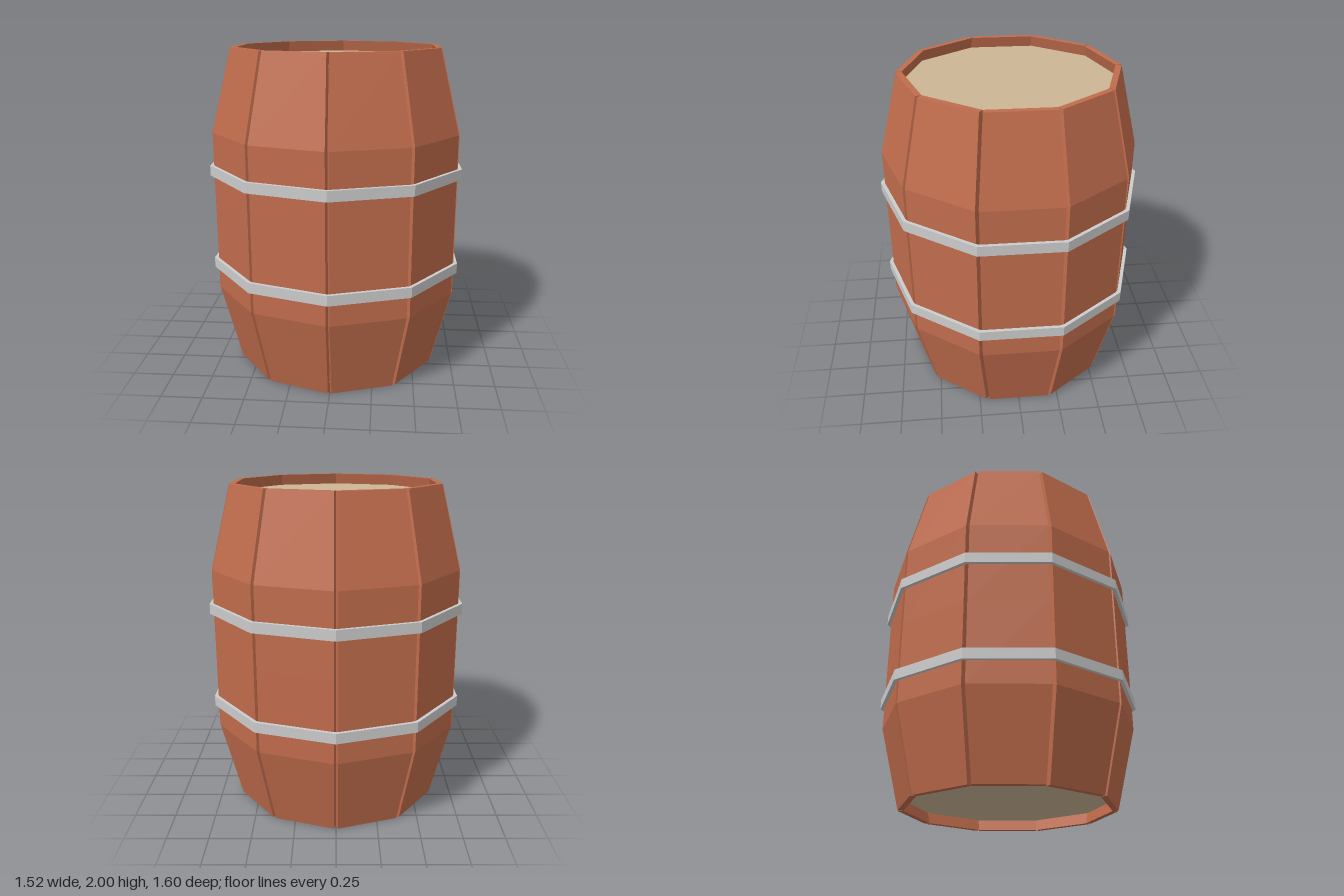
import * as THREE from 'three';

const SIDES = 10;
const STEP = (Math.PI * 2) / SIDES;
const CORNER = 1 / Math.cos(STEP / 2); // flat distance -> corner radius
const HALF_TAN = Math.tan(STEP / 2);

const material = (color) => new THREE.MeshStandardMaterial({ color, flatShading: true });

function flat(geometry) {
  const g = geometry.toNonIndexed();
  g.computeVertexNormals();
  return g;
}

// One plank: a square-edged box bent in towards both ends
function staveGeometry() {
  const thickness = 0.035;
  const g = new THREE.BoxGeometry(2, 2, 2, 1, 4, 1).translate(0, 1, 0);
  const p = g.attributes.position;
  for (let i = 0; i < p.count; i++) {
    const y = p.getY(i);
    const taper = Math.max(0, Math.abs(y - 1) - 0.5) / 0.5;
    const outer = 0.74 - 0.12 * taper;
    const inner = outer - thickness;
    p.setX(i, p.getX(i) * inner * HALF_TAN);
    p.setZ(i, p.getZ(i) > 0 ? outer : inner);
  }
  return flat(g);
}

// Closed band with a rectangular section
function hoopGeometry(height) {
  const inner = 0.738 * CORNER, outer = 0.8, h = height / 2;
  const profile = [[inner, -h], [outer, -h], [outer, h], [inner, h], [inner, -h]];
  return flat(new THREE.LatheGeometry(profile.map(([r, y]) => new THREE.Vector2(r, y)), SIDES));
}

export function createModel() {
  const barrel = new THREE.Group();
  barrel.name = 'barrel';
  const add = (name, geometry, mat, y = 0, turn = 0) => {
    const mesh = new THREE.Mesh(geometry, mat);
    mesh.name = name;
    mesh.position.y = y;
    mesh.rotation.y = turn;
    barrel.add(mesh);
  };

  // Staves, one per side
  const wood = material(0xc06c4c);
  const stave = staveGeometry();
  for (let i = 0; i < SIDES; i++) add(`stave${i + 1}`, stave, wood, 0, (i + 0.5) * STEP);

  // Metal hoops
  const metal = material(0xcccccc);
  const hoop = hoopGeometry(0.063);
  add('lowerHoop', hoop, metal, 0.667);
  add('upperHoop', hoop, metal, 1.265);

  // Lids recessed inside the rims
  const paleWood = material(0xcbb595);
  const radius = 0.604 * CORNER;
  const lid = flat(new THREE.CylinderGeometry(radius, radius, 0.04, SIDES));
  add('bottomLid', lid, paleWood, 0.087);
  add('topLid', lid, paleWood, 1.913);

  return barrel;
}
